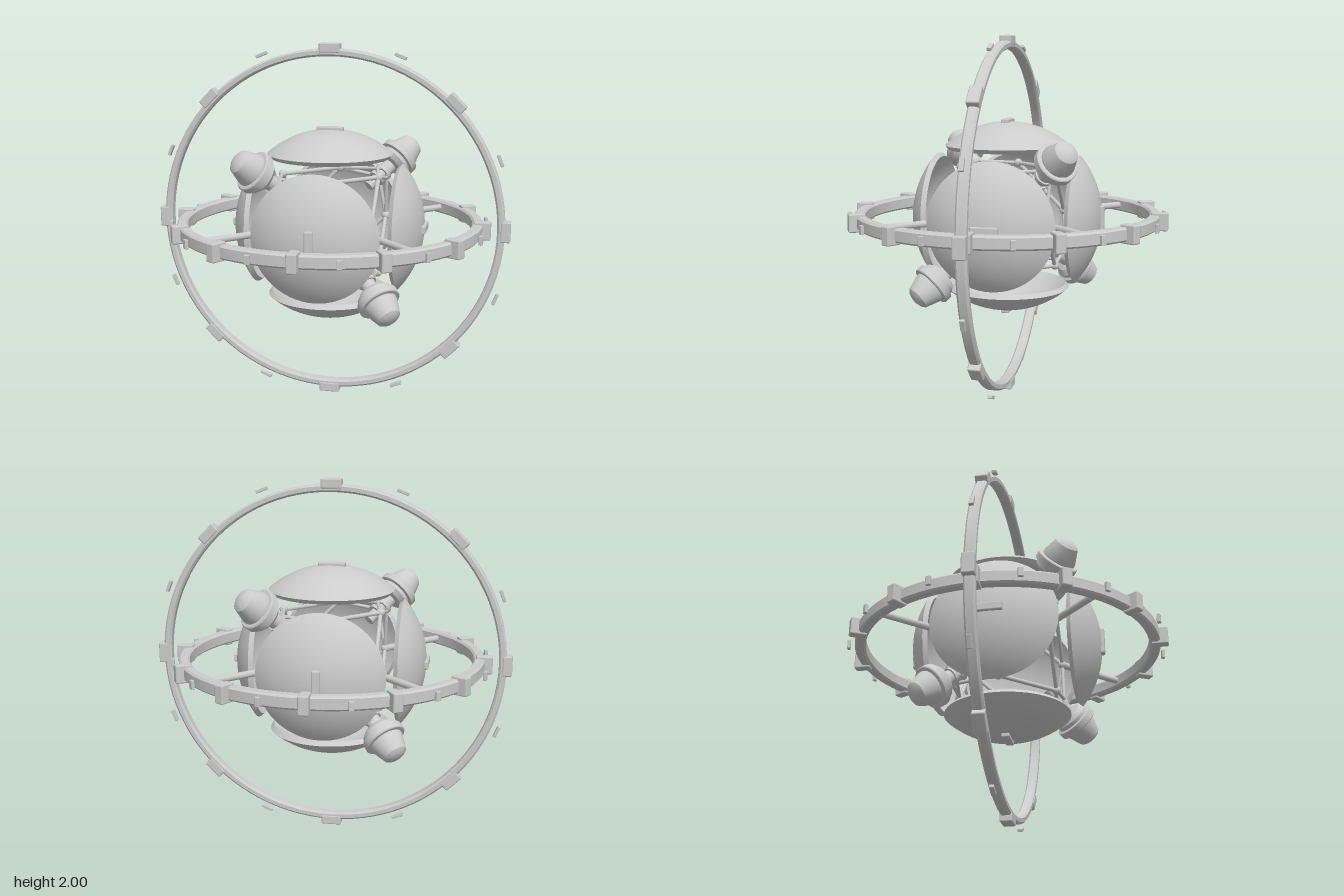
import * as THREE from 'three';
import { toCreasedNormals } from 'three/addons/utils/BufferGeometryUtils.js';
import { RoundedBoxGeometry } from 'three/addons/geometries/RoundedBoxGeometry.js';

const V = (x, y, z) => new THREE.Vector3(x, y, z);
const UP = V(0, 1, 0);
const grey = new THREE.MeshStandardMaterial({ color: 0xcccccc });
grey.name = 'light grey';

function add(parent, geometry, name) {
  const mesh = new THREE.Mesh(geometry, grey);
  mesh.name = name;
  parent.add(mesh);
  return mesh;
}

// Solid of revolution about y with crisp edges where the profile turns sharply
function lathe(points, segments) {
  const g = new THREE.LatheGeometry(points.map(([r, y]) => new THREE.Vector2(r, y)), segments);
  return toCreasedNormals(g, 0.45);
}

function block(w, h, d, bevel) {
  return new RoundedBoxGeometry(w, h, d, 1, bevel);
}

function strut(parent, a, b, radius, name) {
  const dir = b.clone().sub(a);
  const mesh = add(parent, new THREE.CylinderGeometry(radius, radius, dir.length(), 10), name);
  mesh.position.copy(a).add(b).multiplyScalar(0.5);
  mesh.quaternion.setFromUnitVectors(UP, dir.normalize());
}

// Chamfered hoop lying flat, with evenly spaced clamps and small tabs between them
function hoop(name, inner, outer, half, count, clamp, clampR, tab, tabR) {
  const group = new THREE.Group();
  group.name = name;
  const c = 0.01;
  add(group, lathe([
    [inner, -half + c], [inner + c, -half], [outer - c, -half], [outer, -half + c],
    [outer, half - c], [outer - c, half], [inner + c, half], [inner, half - c], [inner, -half + c],
  ], 96), name + 'Band');
  const clampGeo = block(...clamp, 0.008);
  const tabGeo = block(...tab, 0.003);
  for (let i = 0; i < count * 2; i++) {
    const angle = (i * Math.PI) / count;
    const isClamp = i % 2 === 0;
    const mesh = add(group, isClamp ? clampGeo : tabGeo, name + (isClamp ? 'Clamp' : 'Tab'));
    const r = isClamp ? clampR : tabR;
    mesh.position.set(Math.cos(angle) * r, 0, Math.sin(angle) * r);
    mesh.rotation.y = -angle;
  }
  return group;
}

// Domed shell panel pointing up, with a raised bar at its middle
function panelGeometry() {
  const rim = 0.716, steps = 14, points = [];
  for (let i = 0; i <= steps; i++) {
    const t = (rim * i) / steps;
    points.push([0.5 * Math.sin(t), 0.5 * Math.cos(t)]);
  }
  for (let i = steps; i >= 0; i--) {
    const t = (rim * i) / steps;
    points.push([0.53 * Math.sin(t), 0.53 * Math.cos(t)]);
  }
  return lathe(points, 64);
}

export function createModel() {
  const model = new THREE.Group();
  model.name = 'ringedOrb';
  const body = new THREE.Group();
  body.name = 'body';
  body.position.y = 1;
  model.add(body);

  // Two hoops: block sizes are radial, axial, tangential
  body.add(hoop('horizontalRing', 0.79, 0.85, 0.037, 12,
    [0.092, 0.1, 0.055], 0.848, [0.018, 0.05, 0.028], 0.885));
  const upright = hoop('verticalRing', 0.928, 0.97, 0.03, 8,
    [0.054, 0.068, 0.115], 0.973, [0.018, 0.026, 0.066], 1.008);
  upright.rotation.x = Math.PI / 2;
  body.add(upright);

  // Six shell panels: outward direction and direction of the raised bar
  const shell = panelGeometry();
  const bar = block(0.15, 0.03, 0.045, 0.007);
  const axes = [[V(0, 1, 0), V(1, 0, 0)], [V(1, 0, 0), V(0, 0, 1)], [V(0, 0, 1), V(0, 1, 0)]];
  for (const [axis, along] of axes) {
    for (const side of [1, -1]) {
      const out = axis.clone().multiplyScalar(side);
      const panel = new THREE.Group();
      panel.name = 'shellPanel';
      panel.quaternion.setFromRotationMatrix(
        new THREE.Matrix4().makeBasis(along, out, along.clone().cross(out)));
      add(panel, shell, 'panelDome');
      add(panel, bar, 'panelBar').position.y = 0.531;
      body.add(panel);
    }
  }

  // Inner frame: twelve joints, with strut triangles in the open corners
  const a = 0.272;
  const jointGeo = new THREE.SphereGeometry(0.024, 14, 10);
  for (const s of [1, -1]) {
    for (const t of [1, -1]) {
      for (const p of [V(s * a, t * a, 0), V(s * a, 0, t * a), V(0, s * a, t * a)]) {
        add(body, jointGeo, 'frameJoint').position.copy(p);
      }
      // Spokes reaching out to the horizontal ring
      strut(body, V(s * a, 0, t * a), V(s * 0.567, 0, t * 0.567), 0.019, 'ringSpoke');
    }
  }

  // Pod: ribbed neck, flared collar, tapered nose
  const podGeo = lathe([
    [0, 0.32], [0.03, 0.32], [0.03, 0.385], [0.048, 0.385], [0.048, 0.405], [0.036, 0.405],
    [0.036, 0.435], [0.052, 0.435], [0.052, 0.455], [0.042, 0.455], [0.042, 0.505],
    [0.075, 0.51], [0.1, 0.535], [0.1, 0.555], [0.117, 0.56], [0.117, 0.597], [0.112, 0.602],
    [0.094, 0.603], [0.094, 0.615], [0.066, 0.697], [0.05, 0.709], [0.026, 0.717], [0, 0.72],
  ], 40);

  for (const x of [1, -1]) for (const y of [1, -1]) for (const z of [1, -1]) {
    const joints = [V(x * a, y * a, 0), V(0, y * a, z * a), V(x * a, 0, z * a)];
    if (x * y * z > 0) {
      joints.forEach((p, i) => strut(body, p, joints[(i + 1) % 3], 0.012, 'frameStrut'));
      continue;
    }
    const dir = V(x, y, z).normalize();
    add(body, podGeo, 'pod').quaternion.setFromUnitVectors(UP, dir);
    // Forked legs from the joints to the pod neck
    for (const p of joints) {
      const sideways = p.clone().cross(dir).normalize();
      for (const k of [-0.042, 0.042]) {
        const end = dir.clone().multiplyScalar(0.44).addScaledVector(sideways, k);
        strut(body, p, end, 0.01, 'podLeg');
      }
    }
  }
  return model;
}
